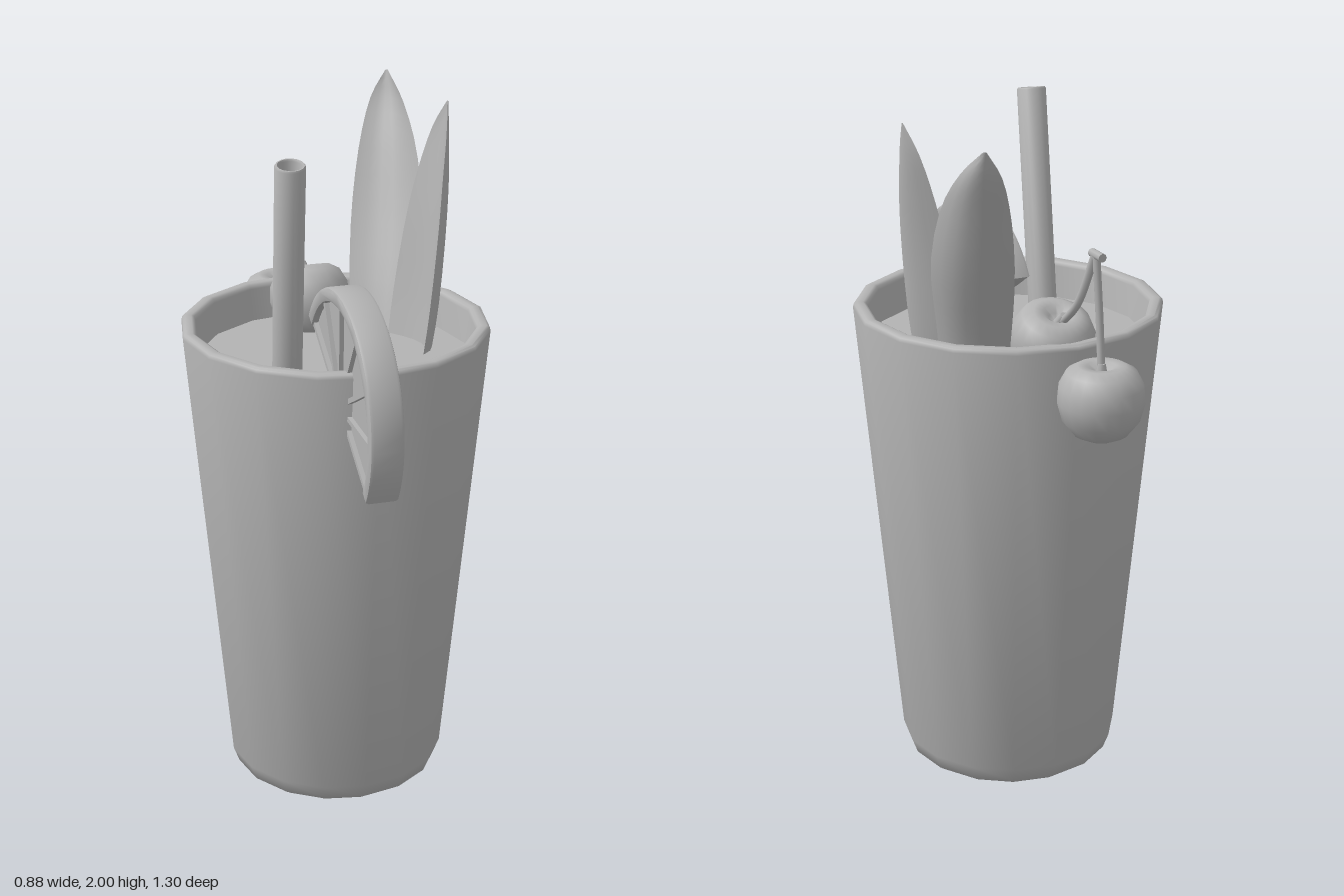
import * as THREE from 'three';
import { toCreasedNormals } from 'three/addons/utils/BufferGeometryUtils.js';

const clay = new THREE.MeshStandardMaterial({ color: 0xb3b3b3 });
clay.name = 'plain grey';

const V = (x, y, z) => new THREE.Vector3(x, y, z);

function add(parent, name, geometry) {
  const mesh = new THREE.Mesh(geometry, clay);
  mesh.name = name;
  parent.add(mesh);
  return mesh;
}

function lathe(points, sides, crease = 0.9) {
  const g = new THREE.LatheGeometry(points.map(([r, y]) => new THREE.Vector2(r, y)), sides);
  return toCreasedNormals(g, crease);
}

// Trough-shaped blade lofted through stations [y, left edge x z, spine x z, right edge x z]
function blade(stations) {
  const curves = [1, 3, 5].map(k =>
    new THREE.CatmullRomCurve3(stations.map(s => V(s[k], s[0], s[k + 1]))));
  const rows = 14, across = 6, n = across * 2, pos = [], idx = [];
  for (let i = 0; i <= rows; i++) {
    const [l, m, r] = curves.map(c => c.getPoint(i / rows));
    const mid = l.clone().add(r).multiplyScalar(0.5);
    const bulge = m.clone().sub(mid);
    for (let j = 0; j < n; j++) {
      const outer = j <= across;
      const t = outer ? j / across : (n - j) / across;
      const depth = 4 * t * (1 - t) * (outer ? 1 : 0.68);
      const p = l.clone().lerp(r, t).addScaledVector(bulge, depth);
      pos.push(p.x, p.y, p.z);
    }
  }
  for (let i = 0; i < rows; i++) {
    for (let j = 0; j < n; j++) {
      const a = i * n + j, b = i * n + (j + 1) % n;
      idx.push(a, a + n, b, b, a + n, b + n);
    }
  }
  const g = new THREE.BufferGeometry();
  g.setAttribute('position', new THREE.Float32BufferAttribute(pos, 3));
  g.setIndex(idx);
  return toCreasedNormals(g, 0.8);
}

// Half ring (or half disc when inner is 0), extruded evenly about z = 0
function halfRing(outer, inner, depth, bevel) {
  const s = new THREE.Shape();
  s.moveTo(outer, 0);
  s.absarc(0, 0, outer, 0, Math.PI, false);
  if (inner > 0) {
    s.lineTo(-inner, 0);
    s.absarc(0, 0, inner, Math.PI, 0, true);
  }
  const g = new THREE.ExtrudeGeometry(s, {
    depth: depth - 2 * bevel, curveSegments: 12, bevelEnabled: bevel > 0,
    bevelSize: bevel, bevelThickness: bevel, bevelOffset: -bevel, bevelSegments: 2,
  });
  g.translate(0, 0, -depth / 2 + bevel);
  return toCreasedNormals(g, 0.6);
}

function citrusSlice() {
  const slice = new THREE.Group();
  slice.name = 'citrusSlice';
  add(slice, 'rind', halfRing(0.325, 0.285, 0.095, 0.01));
  add(slice, 'pulp', halfRing(0.29, 0, 0.055, 0));
  // Membranes between the six wedges, with one along each half of the cut edge
  for (let i = 0; i <= 6; i++) {
    const shift = i === 0 ? 0.007 : i === 6 ? -0.007 : 0;
    const g = new THREE.BoxGeometry(0.29, 0.014, 0.08);
    g.translate(0.147, shift, 0);
    g.rotateZ(i * Math.PI / 6);
    add(slice, 'membrane', g);
  }
  slice.rotation.set(0, Math.PI / 2, 0.555, 'YXZ');
  slice.position.set(-0.047, 1.29, 0.325);
  return slice;
}

function cherryPair() {
  const pair = new THREE.Group();
  pair.name = 'cherryPair';
  // Round fruit with a dimple under the stem
  const fruit = lathe([[0, -0.112], [0.035, -0.109], [0.075, -0.09], [0.105, -0.052], [0.119, 0],
    [0.115, 0.045], [0.095, 0.083], [0.065, 0.1], [0.04, 0.098], [0.022, 0.083], [0, 0.07]], 20, 1.2);
  add(pair, 'hangingCherry', fruit).position.set(-0.02, 1.29, -0.53);
  const resting = add(pair, 'restingCherry', fruit);
  resting.position.set(0.01, 1.385, -0.295);
  resting.rotation.x = -0.35;

  const stems = [
    [V(-0.02, 1.35, -0.53), V(-0.02, 1.5, -0.515), V(-0.012, 1.69, -0.505)],
    [V(0.006, 1.44, -0.325), V(0.002, 1.535, -0.43), V(-0.012, 1.69, -0.5)],
  ];
  for (const path of stems) {
    add(pair, 'stem', new THREE.TubeGeometry(new THREE.CatmullRomCurve3(path), 12, 0.011, 8));
  }
  // Flared foot of each stem and the knot joining them
  for (const [p, tilt] of [[V(-0.02, 1.375, -0.53), 0], [V(0.005, 1.465, -0.345), -0.7]]) {
    const foot = add(pair, 'stemFoot', new THREE.CylinderGeometry(0.011, 0.019, 0.04, 8));
    foot.position.copy(p);
    foot.rotation.x = tilt;
  }
  const knot = add(pair, 'stemKnot', new THREE.CylinderGeometry(0.012, 0.012, 0.06, 8));
  knot.rotation.x = Math.PI / 2;
  knot.position.set(-0.012, 1.688, -0.51);
  return pair;
}

export function createModel() {
  const model = new THREE.Group();
  model.name = 'drink';

  // Tapered tumbler with a rounded foot and a thin rolled rim
  add(model, 'glass', lathe([[0, 0], [0.24, 0], [0.275, 0.01], [0.303, 0.03], [0.32, 0.075],
    [0.441, 1.405], [0.438, 1.416], [0.43, 1.42], [0.412, 1.42], [0.404, 1.416], [0.4, 1.405],
    [0.285, 0.09], [0, 0.06]], 16, 1.0));

  const drink = new THREE.CircleGeometry(0.393, 16);
  drink.rotateX(-Math.PI / 2);
  add(model, 'liquid', drink).position.y = 1.31;

  // Hollow straw leaning toward the front
  const top = V(-0.2, 1.957, 0.267), foot = V(-0.178, 1.25, 0.13);
  const length = top.distanceTo(foot);
  const straw = add(model, 'straw', lathe([[0.042, 0], [0.042, length - 0.005], [0.039, length],
    [0.035, length], [0.032, length - 0.005], [0.032, 0]], 16));
  straw.position.copy(foot);
  straw.quaternion.setFromUnitVectors(V(0, 1, 0), top.clone().sub(foot).normalize());

  model.add(citrusSlice());
  model.add(cherryPair());

  add(model, 'tallLeaf', blade([
    [1.27, 0.11, -0.22, 0.2, -0.19, 0.25, -0.09],
    [1.42, 0.13, -0.29, 0.24, -0.24, 0.28, -0.13],
    [1.62, 0.165, -0.385, 0.285, -0.335, 0.325, -0.2],
    [1.81, 0.215, -0.465, 0.312, -0.43, 0.34, -0.31],
    [1.93, 0.265, -0.515, 0.325, -0.495, 0.335, -0.43],
    [2.0, 0.312, -0.527, 0.315, -0.527, 0.318, -0.523]]));
  add(model, 'shortLeaf', blade([
    [1.27, 0.2, -0.14, 0.285, -0.03, 0.24, 0.06],
    [1.42, 0.225, -0.165, 0.312, -0.04, 0.262, 0.057],
    [1.66, 0.27, -0.18, 0.342, -0.065, 0.292, 0.038],
    [1.8, 0.305, -0.18, 0.358, -0.09, 0.315, 0.0],
    [1.92, 0.342, -0.168, 0.368, -0.118, 0.343, -0.055],
    [1.995, 0.37, -0.133, 0.372, -0.13, 0.37, -0.127]]));

  return model;
}
